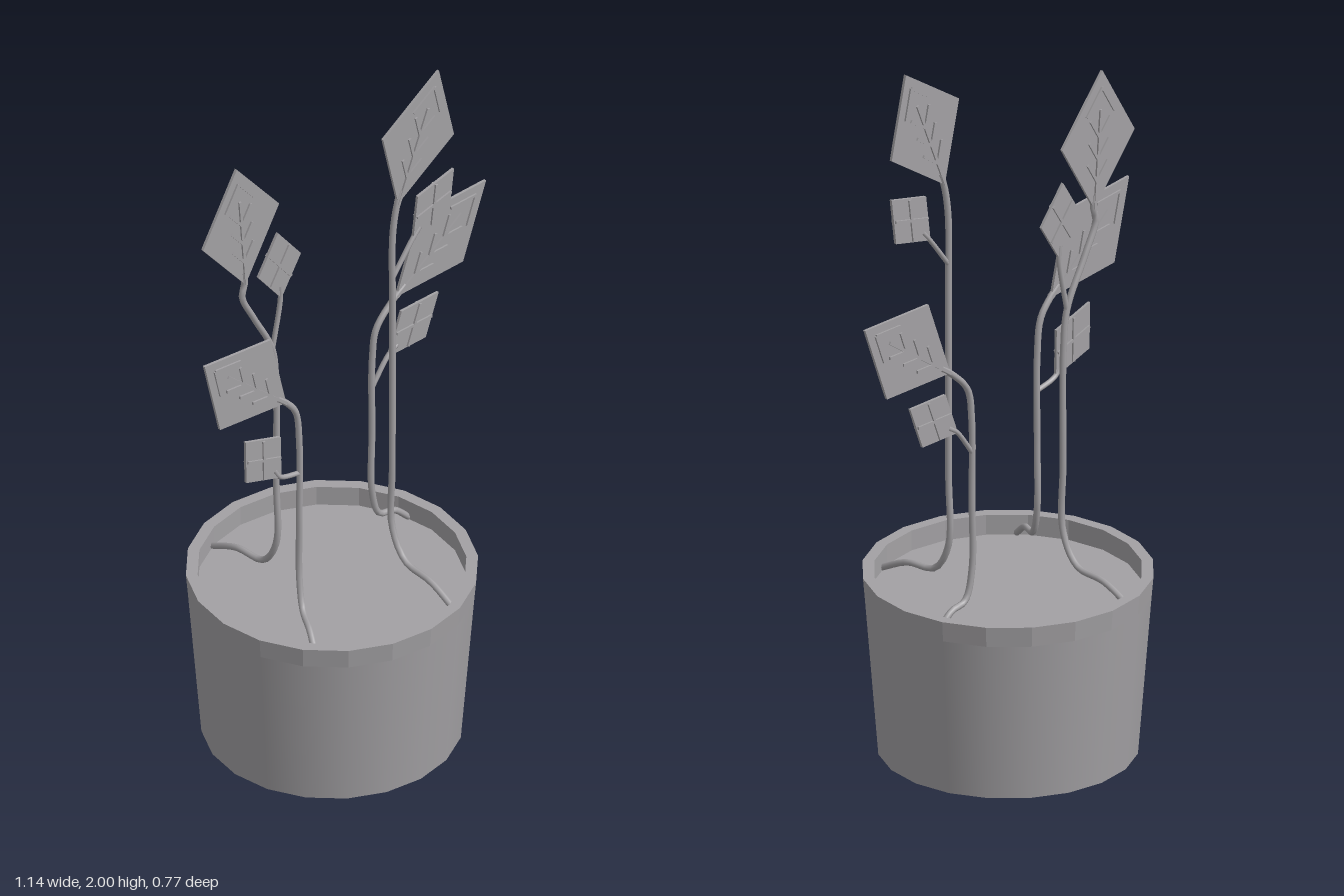
import * as THREE from 'three';

const grey = new THREE.MeshStandardMaterial({ color: 0xa3a1a4 });
grey.name = 'grey';

function add(parent, name, geometry) {
  const mesh = new THREE.Mesh(geometry, grey);
  mesh.name = name;
  parent.add(mesh);
  return mesh;
}

function addGroup(parent, name) {
  const group = new THREE.Group();
  group.name = name;
  parent.add(group);
  return group;
}

// Twenty-sided ring surface from a profile; flat gives hard facets
function ring(profile, flat) {
  let g = new THREE.LatheGeometry(profile.map(([r, y]) => new THREE.Vector2(r, y)), 20);
  if (flat) {
    g = g.toNonIndexed();
    g.computeVertexNormals();
  }
  return g;
}

function tube(points, radius) {
  const curve = new THREE.CatmullRomCurve3(points.map(p => new THREE.Vector3(...p)));
  return new THREE.TubeGeometry(curve, points.length * 6, radius, 8);
}

// Rhombus leaf standing on its base corner, veins raised on both faces
function addLeaf(parent, name, [x, y, angle], z, length, veins) {
  const group = addGroup(parent, name);
  group.position.set(x, y, z);
  group.rotation.z = angle;
  // u and v run along the two edges that leave the base
  const at = (u, v) => new THREE.Vector2((u - v) * length * 0.35, (u + v) * length * 0.5);
  const outline = new THREE.Shape([at(0, 0), at(1, 0), at(1, 1), at(0, 1)]);
  const blade = new THREE.ExtrudeGeometry(outline, { depth: 0.008, bevelEnabled: false });
  add(group, 'leafBlade', blade.translate(0, 0, -0.004));
  for (const [u0, v0, u1, v1] of veins) {
    const p = at(u0, v0), q = at(u1, v1);
    const vein = add(group, 'leafVein', new THREE.BoxGeometry(p.distanceTo(q), 0.008, 0.018));
    vein.position.set((p.x + q.x) / 2, (p.y + q.y) / 2, 0);
    vein.rotation.z = Math.atan2(q.y - p.y, q.x - p.x);
  }
}

// Vein layouts: fishbone for big leaves, cross for small ones
const fishbone = [[0, 0, 0.72, 0.72], [0.88, 0.88, 0.88, 0.5], [0.88, 0.88, 0.5, 0.88]];
for (const t of [0.2, 0.36, 0.52]) {
  fishbone.push([t, t, t + 0.27, t], [t, t, t, t + 0.27]);
}
const cross = [[0.5, 0.03, 0.5, 0.97], [0.03, 0.5, 0.97, 0.5]];

// Leaves are given as base x, base y and tilt; bends are stem points below the big leaf
function addPlant(model, name, { x, z, root, bends, big, fork, small }) {
  const plant = addGroup(model, name);
  const inside = ([bx, by, a]) => [bx - Math.sin(a) * 0.04, by + Math.cos(a) * 0.04, z];

  // The root creeps from the pot wall to the stem, then turns upright
  const rootPath = [[0, 0.455], [0.4, 0.502], [0.8, 0.517], [1, 0.6]].map(([t, y]) =>
    [THREE.MathUtils.lerp(root[0], x, t), y, THREE.MathUtils.lerp(root[1], z, t)]);
  const bendPath = bends.map(([bx, by]) => [bx, by, z]);
  add(plant, 'stem', tube([...rootPath, [x, 0.8, z], ...bendPath, [big[0], big[1], z], inside(big)], 0.009));
  add(plant, 'branch', tube([[...fork, z], [small[0], small[1], z], inside(small)], 0.007));

  addLeaf(plant, 'bigLeaf', big, z, 0.388, fishbone);
  addLeaf(plant, 'smallLeaf', small, z, 0.216, cross);
}

export function createModel() {
  const model = new THREE.Group();
  model.name = 'pottedPlant';

  // Tapered pot with a faceted lip, soil inside
  const pot = addGroup(model, 'pot');
  pot.position.x = -0.05;
  add(pot, 'potWall', ring([[0.345, 0], [0.381, 0.45]], false));
  add(pot, 'potBase', ring([[0, 0], [0.345, 0]], true));
  add(pot, 'potLip', ring([[0.381, 0.45], [0.386, 0.507], [0.355, 0.507], [0.355, 0.44]], true));
  add(pot, 'soil', ring([[0.356, 0.45], [0, 0.45]], true));

  // Four stems in a front and a back pair, each with a big and a small leaf
  addPlant(model, 'leftFrontPlant', {
    x: -0.235, z: 0.075, root: [-0.318, 0.232],
    bends: [[-0.235, 1.03], [-0.248, 1.14]],
    big: [-0.285, 1.19, 0.846], fork: [-0.235, 0.937], small: [-0.302, 0.957, 0.631],
  });
  addPlant(model, 'leftBackPlant', {
    x: -0.175, z: -0.08, root: [-0.175, -0.335],
    bends: [[-0.176, 1.12], [-0.19, 1.235], [-0.255, 1.365], [-0.297, 1.455]],
    big: [-0.288, 1.492, 0.08], fork: [-0.19, 1.225], small: [-0.16, 1.386, 0.055],
  });
  addPlant(model, 'rightFrontPlant', {
    x: 0.096, z: 0.075, root: [0.096, 0.328],
    bends: [[0.097, 1.3], [0.098, 1.55]],
    big: [0.114, 1.64, -0.383], fork: [0.098, 1.407], small: [0.167, 1.497, -0.739],
  });
  addPlant(model, 'rightBackPlant', {
    x: 0.166, z: -0.08, root: [0.295, -0.08],
    bends: [[0.167, 1.03], [0.182, 1.12]],
    big: [0.25, 1.19, -0.964], fork: [0.167, 0.937], small: [0.222, 1.01, -0.97],
  });
  return model;
}
